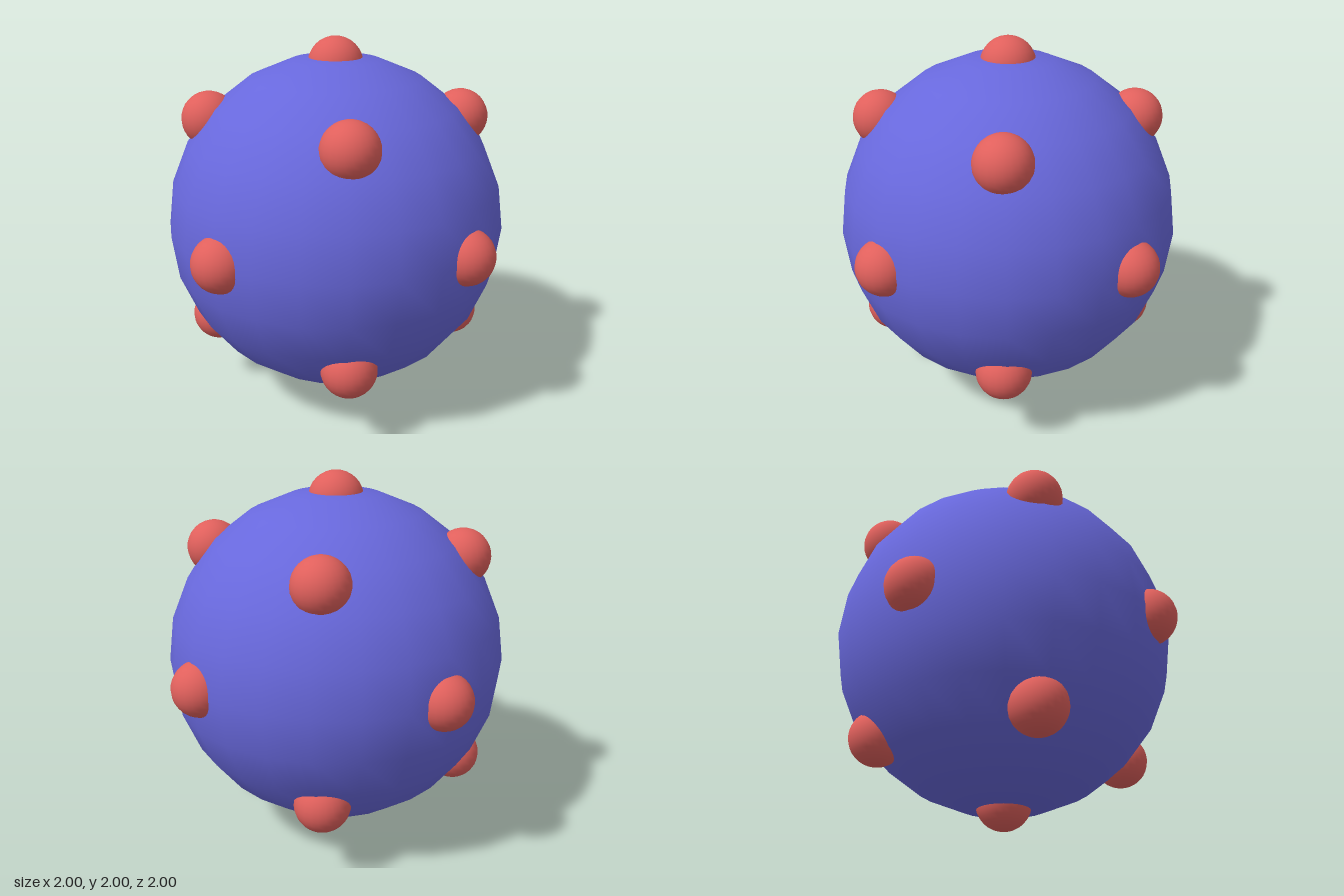
import * as THREE from 'three';

export function createModel() {
  const model = new THREE.Group();
  model.name = 'studdedBall';
  const blue = new THREE.MeshStandardMaterial({ color: 0x6868dc });
  const red = new THREE.MeshStandardMaterial({ color: 0xe0605c });

  // Everything is placed around the ball's centre, one unit above the ground
  const ball = new THREE.Group();
  ball.name = 'ball';
  ball.position.y = 1;
  model.add(ball);

  // Main round body
  const body = new THREE.Mesh(new THREE.SphereGeometry(0.91, 24, 12), blue);
  body.name = 'body';
  ball.add(body);

  // Half-sunk round studs
  const studGeometry = new THREE.SphereGeometry(0.147, 24, 16);
  function addStud(name, x, y, z) {
    const stud = new THREE.Mesh(studGeometry, red);
    stud.name = name;
    stud.position.set(x, y, z);
    ball.add(stud);
  }

  // One stud at each end of the three axes
  const reach = 0.853;
  for (const s of [-1, 1]) {
    addStud(s > 0 ? 'leftStud' : 'rightStud', s * reach, 0, 0);
    addStud(s > 0 ? 'topStud' : 'bottomStud', 0, s * reach, 0);
    addStud(s > 0 ? 'frontStud' : 'backStud', 0, 0, s * reach);
  }

  // One stud in each of the eight diagonal directions
  for (const x of [-1, 1])
    for (const y of [-1, 1])
      for (const z of [-1, 1])
        addStud('diagonalStud', x * 0.485, y * 0.571, z * 0.46);

  return model;
}
